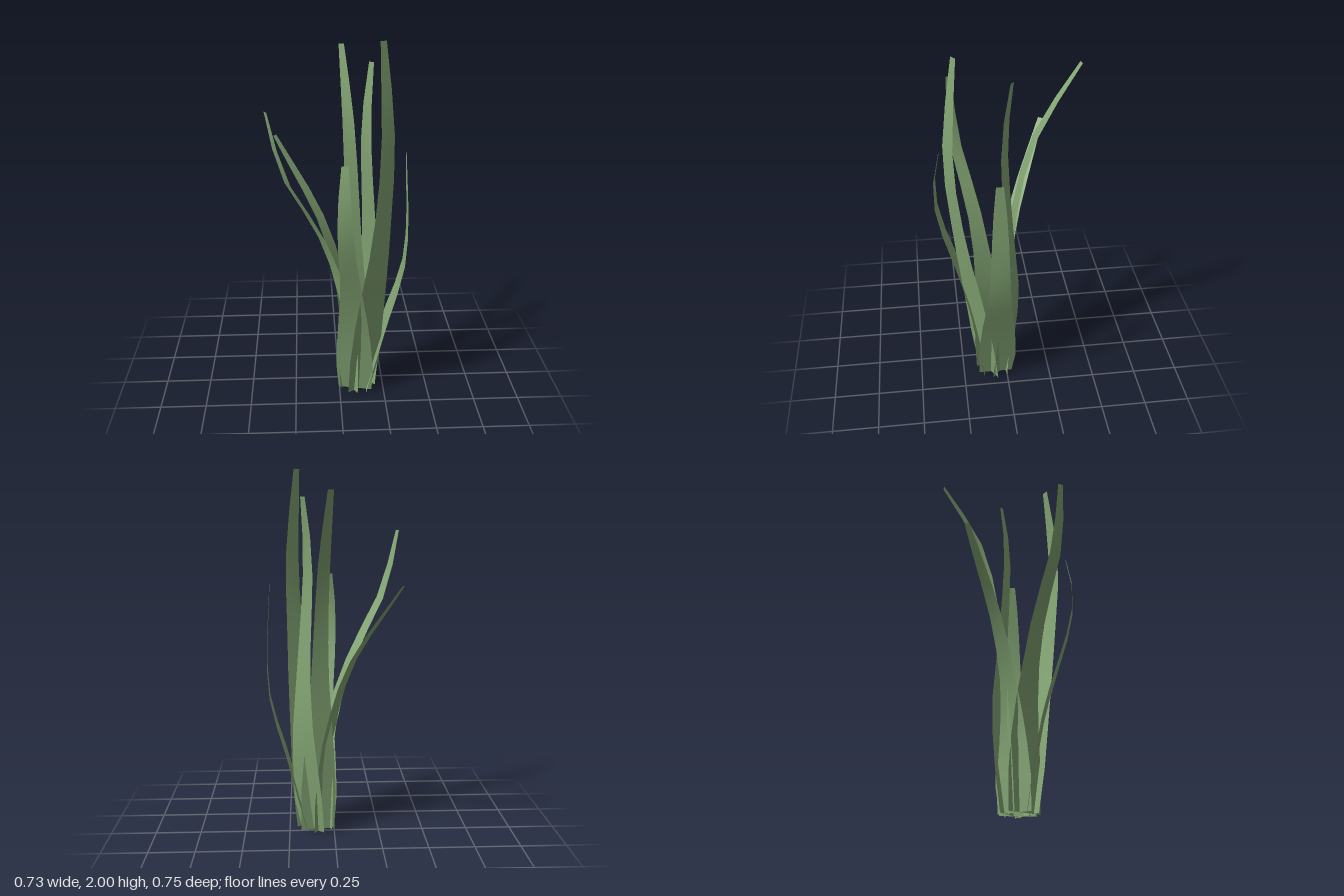
import * as THREE from 'three';

// Blade name, facing angle in degrees (0 = +x, 90 = +z), upper width scale, spine points above the root
const BLADES = [
  ['leftBlade', 0, 1.08, [[0.2, 0.2, 0.058], [0.28, 0.5, 0.06], [0.345, 0.72, 0.057], [0.365, 0.95, 0.057], [0.345, 1.4, 0.057]]],
  ['frontLeftBlade', 57, 1.02, [[0.167, 0.55, 0.18], [0.2, 0.9, 0.235], [0.225, 1.5, 0.295], [0.196, 2, 0.25]]],
  ['frontBlade', 102, 1, [[0.07, 0.45, 0.185], [0.055, 0.67, 0.24], [0.022, 1, 0.34], [0.012, 1.2, 0.367], [0.015, 1.42, 0.332]]],
  ['frontRightBlade', 152, 0.85, [[0.035, 0.52, 0.1], [-0.1, 0.97, 0.15], [-0.285, 1.34, 0.235], [-0.363, 1.67, 0.252]]],
  ['backRightBlade', 214, 0.8, [[0.03, 0.52, 0.02], [-0.08, 0.95, -0.06], [-0.34, 1.41, -0.245]]],
  ['backBlade', 260, 0.83, [[0.08, 0.65, -0.015], [0.075, 1.05, -0.045], [0.058, 1.5, -0.15], [0.03, 1.88, -0.375]]],
  ['backLeftBlade', 309, 0.83, [[0.172, 0.6, -0.028], [0.165, 0.95, -0.012], [0.14, 1.52, 0.01], [0.165, 1.85, -0.022]]],
];

// Blade width against the share of its height: broad low down, tapering to a blunt tip
const WIDTHS = [[0, 0.19], [0.14, 0.212], [0.35, 0.157], [0.5, 0.108], [0.68, 0.088], [0.84, 0.073], [1, 0.036]];

function widthAt(t, scale) {
  const i = Math.max(1, WIDTHS.findIndex(([h]) => h >= t));
  const [h0, w0] = WIDTHS[i - 1], [h1, w1] = WIDTHS[i];
  const width = THREE.MathUtils.mapLinear(t, h0, h1, w0, w1);
  return width * THREE.MathUtils.lerp(1, scale, Math.min(1, t * 2.5));
}

// Flat curved ribbon whose front faces away from the clump
function ribbon(degrees, scale, points) {
  const a = THREE.MathUtils.degToRad(degrees);
  const root = new THREE.Vector3(0.1 + 0.05 * Math.cos(a), 0, 0.065 + 0.05 * Math.sin(a));
  const across = new THREE.Vector3(-Math.sin(a), 0, Math.cos(a));
  const spine = new THREE.CatmullRomCurve3([root, ...points.map((p) => new THREE.Vector3(...p))]);
  const height = points.at(-1)[1];
  const positions = [], indices = [];
  spine.getSpacedPoints(9).forEach((centre, i) => {
    const width = widthAt(THREE.MathUtils.clamp(centre.y / height, 0, 1), scale);
    for (const side of [-0.5, 0.5]) {
      positions.push(...centre.clone().addScaledVector(across, side * width).toArray());
    }
    if (i > 0) {
      const p = (i - 1) * 2;
      indices.push(p, p + 2, p + 1, p + 1, p + 2, p + 3);
    }
  });
  const geometry = new THREE.BufferGeometry();
  geometry.setAttribute('position', new THREE.Float32BufferAttribute(positions, 3));
  geometry.setIndex(indices);
  geometry.computeVertexNormals();
  return geometry;
}

export function createModel() {
  const group = new THREE.Group();
  group.name = 'grassClump';
  const leafGreen = new THREE.MeshStandardMaterial({ color: 0x84a674, side: THREE.DoubleSide });
  leafGreen.name = 'leafGreen';
  for (const [name, degrees, scale, points] of BLADES) {
    const blade = new THREE.Mesh(ribbon(degrees, scale, points), leafGreen);
    blade.name = name;
    group.add(blade);
  }
  return group;
}
